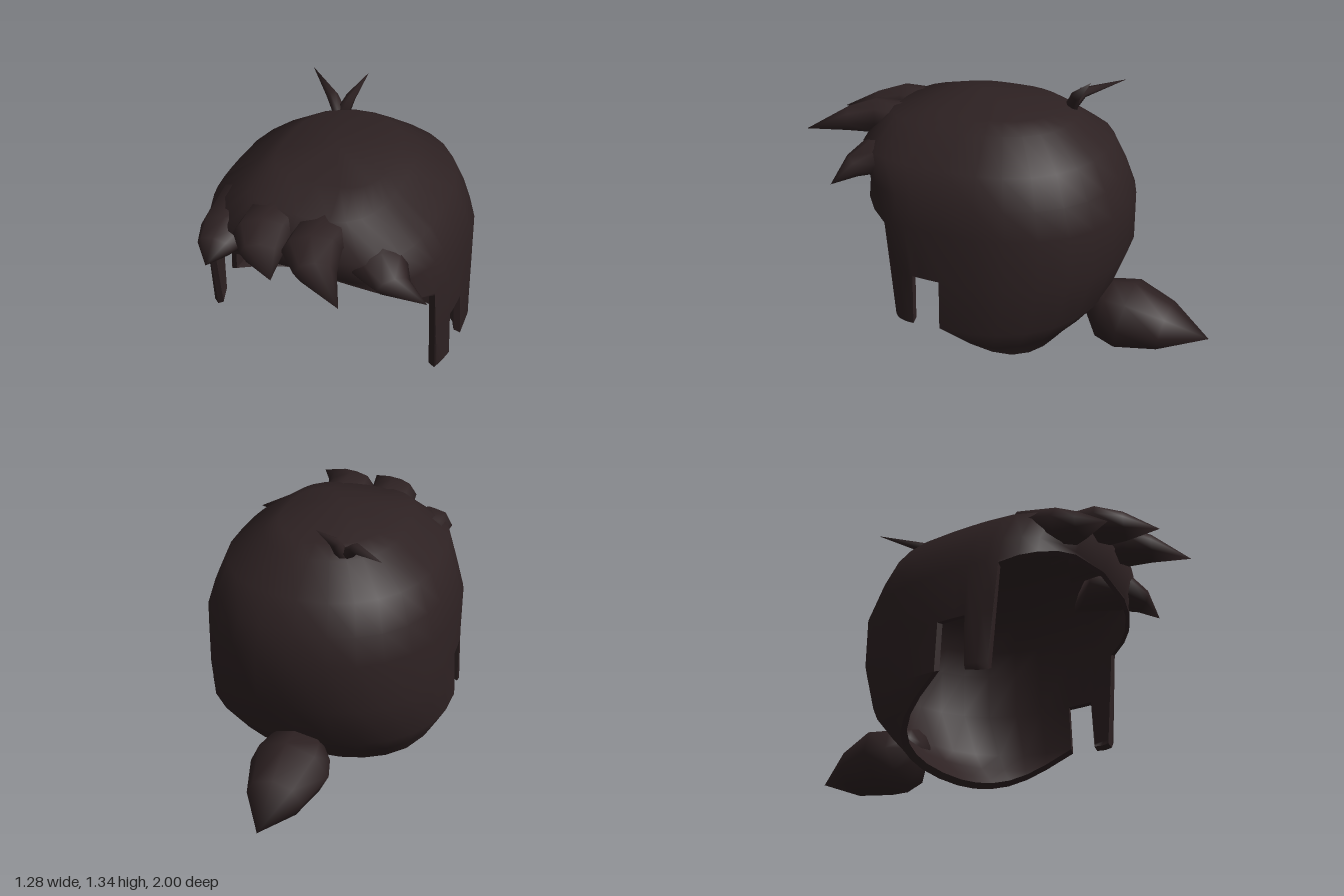
import * as THREE from 'three';
import { mergeVertices } from 'three/addons/utils/BufferGeometryUtils.js';

const hairMat = new THREE.MeshStandardMaterial({ color: 0x2d2122 });
hairMat.name = 'dark brown hair';

// Cap profile by height: [y, half width, front z, back z, centre z]
const PROFILE = [
  [1.27, 0, 0.2, 0.2, 0.2], [1.21, 0.27, 0.44, -0.19, 0.12], [1.165, 0.34, 0.63, -0.27, 0.12],
  [1.04, 0.52, 0.74, -0.44, 0.12], [0.9, 0.58, 0.68, -0.51, 0.12], [0.77, 0.62, 0.68, -0.56, 0.12],
  [0.52, 0.625, 0.64, -0.56, 0.12], [0.28, 0.64, 0.6, -0.47, 0.12], [0.17, 0.585, 0.58, -0.38, 0.12],
  [0.1, 0.57, 0.55, -0.31, 0.12], [0.04, 0.55, 0.5, -0.26, 0.12],
];

// Point on the cap at an angle (0 = front, 90 = +x) and a height
function capPoint(deg, y) {
  let i = 0;
  while (i < PROFILE.length - 2 && PROFILE[i + 1][0] > y) i++;
  const [a, b] = [PROFILE[i], PROFILE[i + 1]];
  const t = THREE.MathUtils.clamp((a[0] - y) / (a[0] - b[0]), 0, 1);
  const [, w, zf, zb, zc] = a.map((v, k) => v + (b[k] - v) * t);
  const s = Math.sin(deg * Math.PI / 180), c = Math.cos(deg * Math.PI / 180);
  const e = c > 0 ? 0.6 : 0.9; // squarer in front, round behind
  const x = w * Math.sign(s) * Math.abs(s) ** e;
  const z = zc + (c > 0 ? zf - zc : zc - zb) * Math.sign(c) * Math.abs(c) ** e;
  return new THREE.Vector3(x, y, z);
}

// The nape edge lies on a slanted plane
function napeY(deg) {
  let y = 0.15;
  for (let i = 0; i < 30; i++) {
    const target = 0.04 + (capPoint(deg, y).z + 0.26) * 0.58;
    y += (THREE.MathUtils.clamp(target, 0.04, 0.28) - y) * 0.5;
  }
  return y;
}

// Grid of points to triangles; rows run down, columns run to the right seen from outside
function gridGeometry(cols, { flip = false, smooth = true } = {}) {
  const pos = [];
  const tri = (a, b, c) => {
    const area = b.clone().sub(a).cross(c.clone().sub(a)).length();
    if (area > 1e-7) for (const p of flip ? [a, c, b] : [a, b, c]) pos.push(p.x, p.y, p.z);
  };
  for (let j = 0; j < cols.length - 1; j++) {
    for (let i = 0; i < cols[j].length - 1; i++) {
      const [A, B, C, D] = [cols[j][i], cols[j][i + 1], cols[j + 1][i + 1], cols[j + 1][i]];
      tri(A, B, C);
      tri(A, C, D);
    }
  }
  let g = new THREE.BufferGeometry();
  g.setAttribute('position', new THREE.Float32BufferAttribute(pos, 3));
  if (smooth) g = mergeVertices(g, 1e-4);
  g.computeVertexNormals();
  return g;
}

function addMesh(parent, name, geometry) {
  const m = new THREE.Mesh(geometry, hairMat);
  m.name = name;
  parent.add(m);
}

// Tapering lock through stations [x, y, z, half width, half height]
function lockGeometry(stations, sides = 8) {
  const at = (s) => new THREE.Vector3(s[0], s[1], s[2]);
  const dir = at(stations.at(-1)).sub(at(stations[0])).normalize();
  const side = new THREE.Vector3(0, 1, 0).cross(dir).normalize();
  const up = dir.clone().cross(side);
  const all = [[...stations[0].slice(0, 3), 0, 0], ...stations];
  const cols = all.map((s) => Array.from({ length: sides + 1 }, (_, k) => {
    const a = (k % sides) / sides * Math.PI * 2;
    return at(s).addScaledVector(side, Math.cos(a) * s[3]).addScaledVector(up, Math.sin(a) * s[4]);
  }));
  return gridGeometry(cols);
}

export function createModel() {
  const hair = new THREE.Group();
  hair.name = 'hair';

  // Half outline of the lower edge, front to back: [angle, edge height]
  const half = [
    [0, 0.91], [15, 0.885], [28, 0.855], [42, 0.82], [54, 0.79], [65.5, 0.755], // hairline
    [65.5, 0.25], [72, 0.25], [78.5, 0.26], // sideburn
    [80.7, 0.52], [85, 0.52], [89.4, 0.52], // gap at the ear
    ...[89.4, 100, 112, 126, 140, 153, 166, 180].map((d) => [d, napeY(d)]),
  ];
  const edge = [...half.slice(1).reverse().map(([d, y]) => [-d, y]), ...half];

  // Outer shell, inner shell and the rim between them
  const outer = edge.map(([d, y]) => PROFILE.map((p) => capPoint(d, Math.max(p[0], y))));
  const inner = outer.map((col) => col.map((p) => new THREE.Vector3(
    p.x * 0.95, 0.6 + (p.y - 0.6) * 0.955, 0.3 + (p.z - 0.3) * 0.955)));
  const rim = outer.map((col, j) => [col.at(-1), inner[j].at(-1)]);
  const cap = new THREE.Group();
  cap.name = 'cap';
  addMesh(cap, 'capOuter', gridGeometry(outer));
  addMesh(cap, 'capInner', gridGeometry(inner, { flip: true }));
  addMesh(cap, 'capRim', gridGeometry(rim, { smooth: false }));
  hair.add(cap);

  // Fringe locks swept towards the left
  const fringe = [
    [[-0.34, 1.03, 0.45, 0.14, 0.09], [-0.34, 0.99, 0.65, 0.13, 0.085], [-0.35, 0.97, 0.75, 0.085, 0.055], [-0.33, 0.96, 0.87, 0, 0]],
    [[-0.13, 1.08, 0.45, 0.15, 0.09], [-0.12, 1.09, 0.72, 0.13, 0.085], [-0.07, 1.08, 0.84, 0.09, 0.06], [0.04, 1.08, 0.97, 0, 0]],
    [[0.11, 1.08, 0.45, 0.15, 0.09], [0.12, 1.09, 0.74, 0.13, 0.085], [0.19, 1.08, 0.86, 0.09, 0.06], [0.355, 1.06, 1, 0, 0]],
    [[0.33, 1.02, 0.4, 0.13, 0.09], [0.38, 0.99, 0.61, 0.13, 0.08], [0.47, 0.96, 0.68, 0.08, 0.05], [0.63, 0.925, 0.7, 0, 0]],
  ];
  fringe.forEach((s, i) => addMesh(hair, `fringeLock${i + 1}`, lockGeometry(s)));

  // Two loose wisps on the crown
  addMesh(hair, 'crownWispRight', lockGeometry(
    [[-0.15, 1.17, -0.19, 0.035, 0.035], [-0.21, 1.235, -0.235, 0.03, 0.025], [-0.385, 1.27, -0.4, 0, 0]], 6));
  addMesh(hair, 'crownWispLeft', lockGeometry(
    [[-0.14, 1.17, -0.2, 0.035, 0.035], [-0.11, 1.25, -0.235, 0.025, 0.025], [-0.055, 1.345, -0.33, 0, 0]], 6));

  // Short tied tail at the nape
  addMesh(hair, 'ponytail', lockGeometry(
    [[0, 0.25, -0.38, 0.09, 0.075], [0, 0.19, -0.47, 0.17, 0.155], [0, 0.18, -0.58, 0.2, 0.18],
      [0, 0.155, -0.78, 0.14, 0.125], [0, 0.13, -1, 0, 0]]));

  return hair;
}
